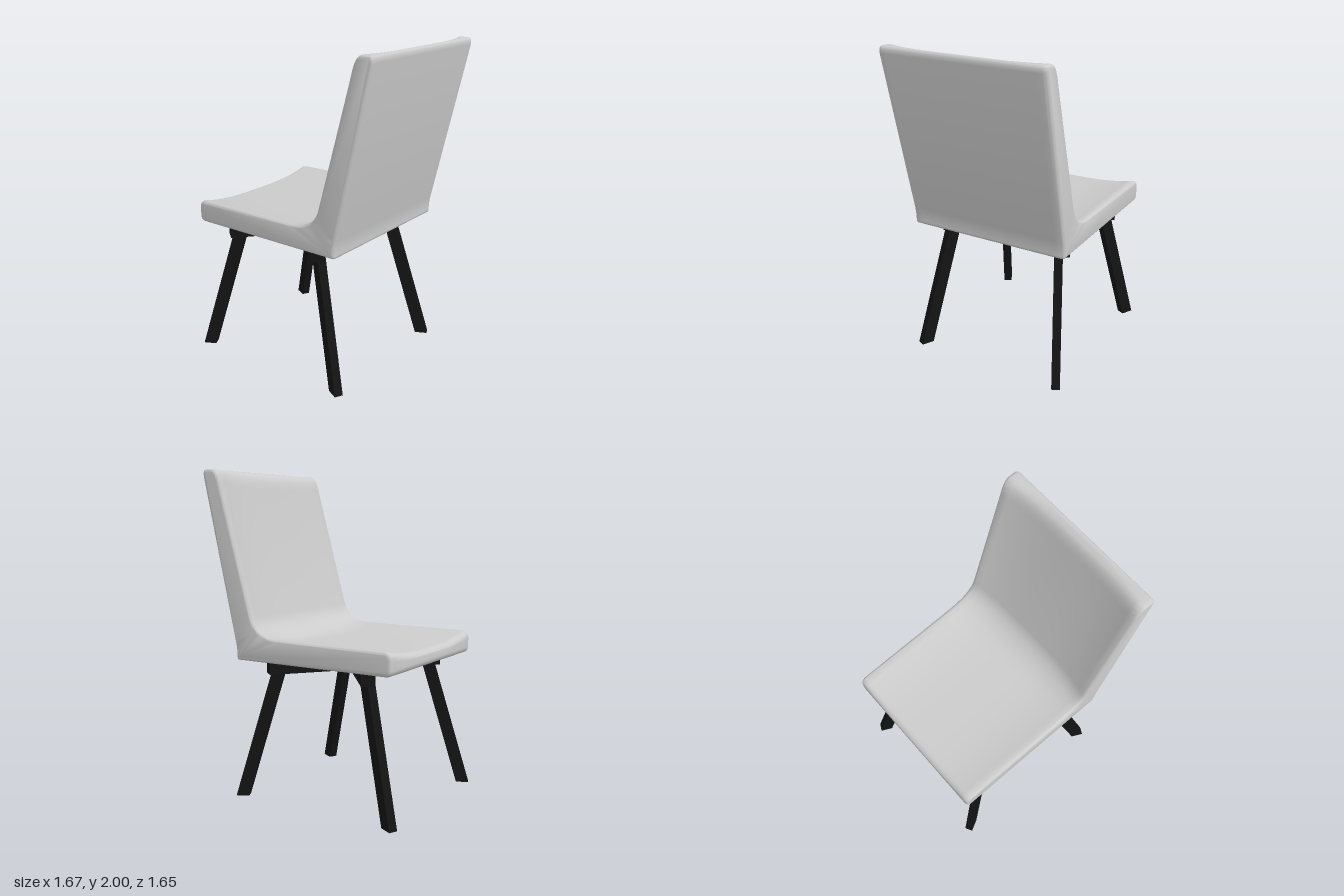
import * as THREE from 'three';
import { toCreasedNormals } from 'three/addons/utils/BufferGeometryUtils.js';

const grey = new THREE.MeshStandardMaterial({ color: 0xcccccc });
const black = new THREE.MeshStandardMaterial({ color: 0x141414 });
const { clamp, smoothstep } = THREE.MathUtils;

const BASE_Z = 0.1; // centre of the leg frame, forward of the chair's centre

function addMesh(parent, name, geometry, material) {
  const mesh = new THREE.Mesh(geometry, material);
  mesh.name = name;
  parent.add(mesh);
  return mesh;
}

// One-piece padded seat and back: a side profile (z, y) extruded across the width,
// then hollowed gently on the sitting side and widened a little to the rear
function shellGeometry() {
  const width = 1.03, bevel = 0.024, depth = width - 2 * bevel;
  const s = new THREE.Shape();
  s.moveTo(-0.41, 0.857);
  s.lineTo(0.60, 0.857);
  s.quadraticCurveTo(0.64, 0.857, 0.64, 0.90);
  s.lineTo(0.64, 0.95);
  s.quadraticCurveTo(0.64, 0.995, 0.59, 0.997);
  s.lineTo(-0.08, 1.0);
  s.bezierCurveTo(-0.22, 1.0, -0.28, 1.04, -0.307, 1.12);
  s.lineTo(-0.522, 1.88);
  s.bezierCurveTo(-0.54, 1.96, -0.56, 2.0, -0.60, 2.0);
  s.lineTo(-0.64, 2.0);
  s.quadraticCurveTo(-0.668, 2.0, -0.66, 1.95);
  s.lineTo(-0.435, 0.97);
  s.quadraticCurveTo(-0.424, 0.92, -0.424, 0.872);
  s.quadraticCurveTo(-0.424, 0.857, -0.41, 0.857);
  const g = new THREE.ExtrudeGeometry(s, {
    depth, steps: 28, curveSegments: 10,
    bevelEnabled: true, bevelThickness: bevel, bevelSize: bevel * 0.8,
    bevelOffset: -bevel * 0.8, bevelSegments: 5,
  });
  g.translate(0, 0, -depth / 2);
  g.rotateY(-Math.PI / 2);

  const p = g.attributes.position;
  for (let i = 0; i < p.count; i++) {
    const x = p.getX(i), y = p.getY(i), z = p.getZ(i);
    const rear = -0.435 - (y - 0.97) * 0.23;
    const inner = Math.min(clamp((z - rear - 0.03) / 0.06, 0, 1), clamp((y - 0.88) / 0.1, 0, 1));
    const hollow = 0.042 * inner * (1 - Math.min(1, Math.abs(x) / (depth / 2)) ** 3);
    const turn = 1.4 * smoothstep(-z, 0.08, 0.3); // downwards on the seat, rearwards on the back
    p.setXYZ(i, x * (1.012 - 0.018 * z), y - hollow * Math.cos(turn), z - hollow * Math.sin(turn));
  }
  return toCreasedNormals(g, 0.75);
}

// Slanted leg with level ends: an upright bar turned to its splay, then sheared
function legGeometry(foot, top) {
  const h = top.y - foot.y, dx = top.x - foot.x, dz = top.z - foot.z;
  const g = new THREE.BoxGeometry(0.052, h, 0.08);
  g.translate(0, h / 2, 0);
  g.rotateY(Math.atan2(dx, dz));
  g.applyMatrix4(new THREE.Matrix4().set(
    1, dx / h, 0, foot.x,
    0, 1, 0, foot.y,
    0, dz / h, 1, foot.z,
    0, 0, 0, 1));
  g.computeVertexNormals();
  return g;
}

export function createModel() {
  const model = new THREE.Group();
  model.name = 'chair';

  const chair = new THREE.Group();
  chair.name = 'turnedChair';
  chair.rotation.y = Math.PI + 0.816; // the chair stands turned on its base
  model.add(chair);

  addMesh(chair, 'seatAndBack', shellGeometry(), grey);

  // Four splayed legs
  for (const z of [1, -1]) for (const x of [1, -1]) {
    const foot = new THREE.Vector3(0.487 * x + 0.005, 0, BASE_Z + 0.52 * z);
    const top = new THREE.Vector3(0.38 * x + 0.005, 0.8, BASE_Z + 0.31 * z);
    const name = (z > 0 ? 'front' : 'back') + (x > 0 ? 'Left' : 'Right') + 'Leg';
    addMesh(chair, name, legGeometry(foot, top), black);
  }

  // Crossed bars under the seat joining opposite legs
  for (const x of [1, -1]) {
    const bar = addMesh(chair, 'crossBar', new THREE.BoxGeometry(0.08, 0.085, 1.12), black);
    bar.position.set(0.005, 0.8175, BASE_Z);
    bar.rotation.y = x * Math.atan2(0.385, 0.31);
  }
  return model;
}
